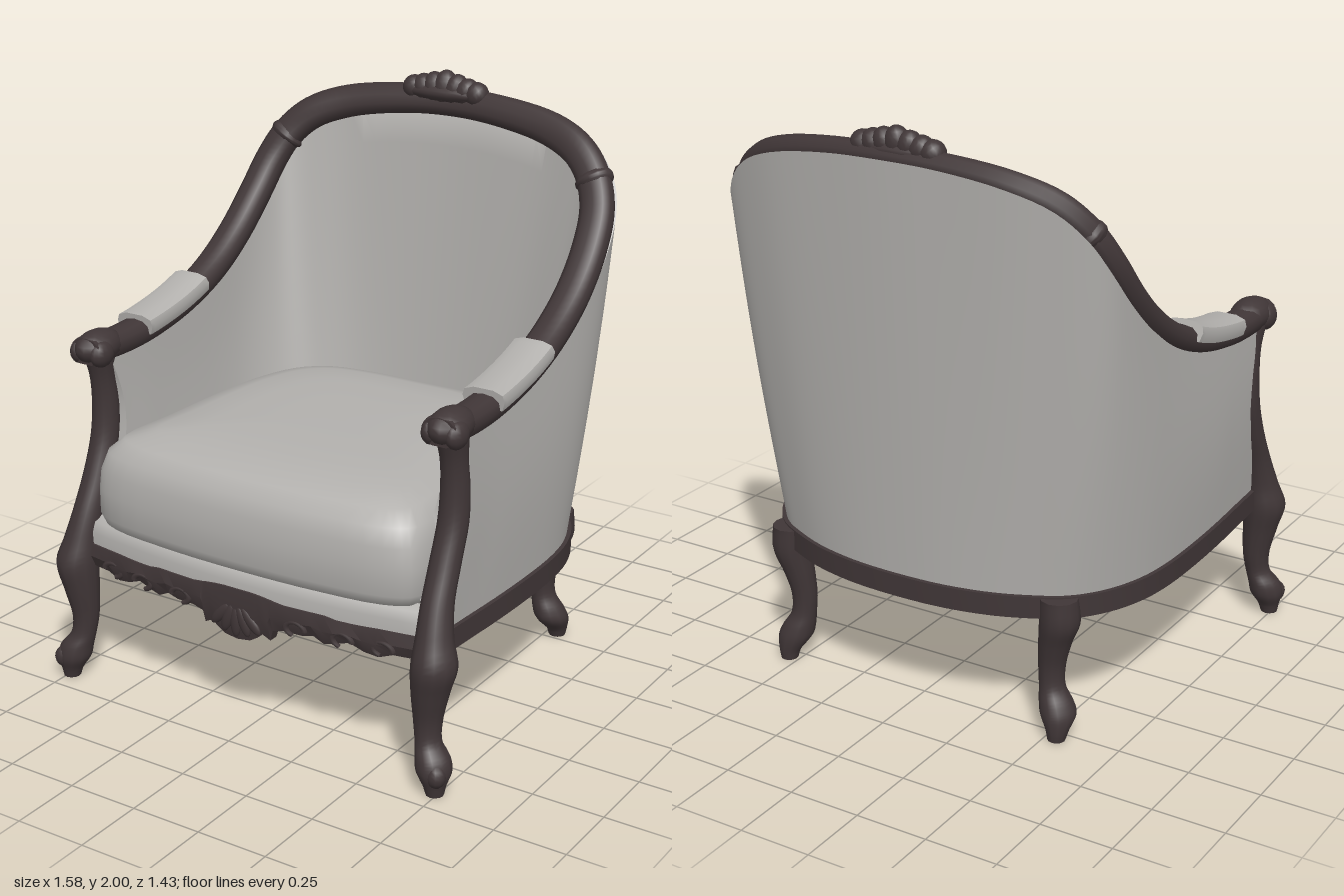
import * as THREE from 'three';
import { toCreasedNormals } from 'three/addons/utils/BufferGeometryUtils.js';

const V = (x, y, z) => new THREE.Vector3(x, y, z);
const { clamp, smoothstep } = THREE.MathUtils;
const wood = new THREE.MeshStandardMaterial({ color: 0x403637, side: THREE.DoubleSide });
wood.name = 'dark wood';
const fabric = new THREE.MeshStandardMaterial({ color: 0xb2b0ad, side: THREE.DoubleSide });
fabric.name = 'grey fabric';

// Skin rows of points; closed rows form rings, capped at the start and end if asked.
function loft(rows, { closed = true, capStart = true, capEnd = true, crease = 0.9 } = {}) {
  const cap = (r) => {
    const c = r.reduce((a, p) => a.add(p), V(0, 0, 0)).divideScalar(r.length);
    return r.map(() => c);
  };
  const all = [...(capStart ? [cap(rows[0])] : []), ...rows, ...(capEnd ? [cap(rows[rows.length - 1])] : [])];
  const n = rows[0].length, pos = [], idx = [];
  all.forEach((r) => r.forEach((p) => pos.push(p.x, p.y, p.z)));
  for (let i = 0; i < all.length - 1; i++) {
    for (let j = 0; j < (closed ? n : n - 1); j++) {
      const k = (j + 1) % n, a = i * n + j, b = i * n + k, c = a + n, d = b + n;
      idx.push(a, c, b, b, c, d);
    }
  }
  const g = new THREE.BufferGeometry();
  g.setAttribute('position', new THREE.Float32BufferAttribute(pos, 3));
  g.setIndex(idx);
  return toCreasedNormals(g, crease);
}

const ellipse = (rx, ry, n = 12) => Array.from({ length: n }, (_, i) => {
  const a = (i / n) * Math.PI * 2;
  return [Math.cos(a) * rx, Math.sin(a) * ry];
});

// Mirror half a path (left side to the middle) into a full horseshoe.
const horseshoe = (half) => new THREE.CatmullRomCurve3([
  ...half.map((p) => V(...p)),
  ...half.slice(0, -1).reverse().map(([x, y, z]) => V(-x, y, z))]);

const railCurve = horseshoe([
  [0.687, 1.178, 0.58], [0.687, 1.172, 0.4], [0.687, 1.184, 0.25], [0.687, 1.227, 0.05], [0.687, 1.3, -0.13],
  [0.687, 1.4, -0.28], [0.68, 1.52, -0.4], [0.662, 1.63, -0.48], [0.618, 1.722, -0.53],
  [0.54, 1.795, -0.57], [0.41, 1.845, -0.61], [0.2, 1.877, -0.635], [0, 1.885, -0.645]]);
const baseCurve = horseshoe([
  [0.69, 0.5, 0.6], [0.7, 0.5, 0.42], [0.71, 0.5, 0.25], [0.715, 0.5, 0.05], [0.71, 0.5, -0.13],
  [0.69, 0.5, -0.26], [0.65, 0.5, -0.37], [0.6, 0.5, -0.45], [0.54, 0.5, -0.51],
  [0.46, 0.5, -0.555], [0.34, 0.5, -0.605], [0.18, 0.5, -0.64], [0, 0.5, -0.65]]);

// Frame on the rail: W points outward, N points up on the arms and forward on the back.
function railFrame(t) {
  const p = railCurve.getPoint(t), T = railCurve.getTangent(t);
  const a = clamp((p.y - 1.18) / 0.5, 0, 1) * 1.1;
  const N = V(0, Math.cos(a), Math.sin(a));
  N.addScaledVector(T, -T.dot(N)).normalize();
  const W = T.clone().cross(N);
  return { a, at: (w, n) => p.clone().addScaledVector(W, w).addScaledVector(N, n) };
}

function alongRail(profile, t0, t1, steps, scale = () => 1) {
  const rows = [];
  for (let i = 0; i <= steps; i++) {
    const s = scale(i / steps), f = railFrame(t0 + (t1 - t0) * i / steps);
    rows.push(profile.map(([w, n]) => f.at(w * s, n * s)));
  }
  return loft(rows);
}

// Turned and bent limb: stations of [x, y, z, radius].
function limb(stations, side) {
  const c = new THREE.CatmullRomCurve3(stations.map(([x, y, z]) => V(x * side, y, z)));
  const r = new THREE.CatmullRomCurve3(stations.map((s) => V(s[3], s[1], 0)));
  const rows = [], steps = stations.length * 4;
  for (let i = 0; i <= steps; i++) {
    const p = c.getPoint(i / steps), q = r.getPoint(i / steps).x;
    rows.push(ellipse(q, q).map(([x, z]) => V(p.x + x, p.y, p.z + z)));
  }
  return loft(rows);
}

export function createModel() {
  const model = new THREE.Group();
  const add = (name, geo, mat, x = 0, y = 0, z = 0) => {
    const m = new THREE.Mesh(geo, mat);
    m.name = name;
    m.position.set(x, y, z);
    model.add(m);
    return m;
  };
  const ball = (name, x, y, z, sx, sy, sz, rot = 0) => {
    const m = add(name, new THREE.SphereGeometry(1, 14, 10), wood, x, y, z);
    m.scale.set(sx, sy, sz);
    m.rotation.z = rot;
    return m;
  };

  // Continuous top rail, moulded with a flattened face and slimmer in the middle
  const railProfile = [[0.059, 0], [0.055, 0.025], [0.035, 0.042], [0, 0.047], [-0.035, 0.042], [-0.055, 0.025],
    [-0.059, 0], [-0.05, -0.03], [-0.025, -0.043], [0.025, -0.043], [0.05, -0.03]];
  add('topRail', alongRail(railProfile, 0, 1, 120,
    (u) => 1 - 0.12 * smoothstep(0.5 - Math.abs(u - 0.5), 0.4, 0.5)), wood);

  // Upholstered shell, open underneath: outside, over the top, and down the inside to the cushion
  const shellRows = [], steps = 96, levels = 10;
  for (let i = 0; i <= steps; i++) {
    const t = i / steps, f = railFrame(t), b = baseCurve.getPoint(t);
    const outTop = f.at(0.04 + 0.008 * f.a, -0.02 - 0.032 * f.a), inTop = f.at(-0.04, -0.015);
    outTop.z = Math.min(outTop.z, 0.51);
    inTop.z = Math.min(inTop.z, 0.51);
    const inBase = V(b.x * 0.845, 0.7, b.z < 0 ? b.z * 0.8 : b.z * 0.95);
    const wall = (from, to, bulge) => Array.from({ length: levels + 1 }, (_, j) => {
      const v = j / levels, s = Math.sin(Math.PI * v), p = from.clone().lerp(to, v);
      p.x *= 1 + bulge * s;
      p.z -= 0.08 * s * smoothstep(p.z, 0.1, 0.5);
      return p;
    });
    const outside = wall(b, outTop, 0.02);
    const edge = [...outside, ...outside.slice().reverse()];
    if (i === 0) shellRows.push(edge);
    shellRows.push([...outside, ...wall(inBase, inTop, 0.01).reverse()]);
    if (i === steps) shellRows.push(edge);
  }
  add('upholsteredShell', loft(shellRows, { closed: false, capStart: false, capEnd: false, crease: 0.8 }), fabric);

  // Seat frame band round the sides and back
  const band = [];
  for (let i = 0; i <= 72; i++) {
    const p = baseCurve.getPoint(i / 72), T = baseCurve.getTangent(i / 72), W = V(-T.z, 0, T.x);
    band.push([[0.015, 0.43], [0.015, 0.505], [-0.045, 0.505], [-0.045, 0.43]]
      .map(([w, y]) => V(p.x + W.x * w, y, p.z + W.z * w)));
  }
  add('seatBand', loft(band, { crease: 0.6 }), wood);

  // Seat cushion, open underneath, its sides ending where they meet the shell
  const halfSeat = [[0, 0.7], [0.3, 0.69], [0.55, 0.655], [0.63, 0.6], [0.625, 0.3], [0.615, 0],
    [0.59, -0.22], [0.525, -0.4], [0.42, -0.49], [0.25, -0.525], [0, -0.53]];
  const seat = new THREE.CatmullRomCurve3([
    ...halfSeat.map(([x, z]) => V(x, 0, z)),
    ...halfSeat.slice(1, -1).reverse().map(([x, z]) => V(-x, 0, z))], true).getPoints(72).slice(0, -1).reverse();
  const ring = ([s, y]) => seat.map((p) => V(p.x * s,
    Math.max(y, 0.585 + 0.105 * smoothstep(0.55 - p.z, 0, 0.3)), 0.1 + (p.z - 0.1) * s));
  add('seatCushion', loft([[0.95, 0.585], [0.98, 0.595], [1, 0.63], [1, 0.72], [0.99, 0.79], [0.96, 0.85],
    [0.89, 0.893], [0.75, 0.92], [0.55, 0.934], [0.25, 0.938]].map(ring), { capStart: false, crease: 1 }), fabric);

  // Fabric panel under the front of the cushion
  const front = (x) => 0.7 - 0.14 * x * x;
  const panel = [];
  for (let i = 0; i <= 20; i++) {
    const x = -0.65 + i * 0.065, z = front(x);
    panel.push([V(x, 0.48, z - 0.012), V(x, 0.55, z - 0.012), V(x, 0.585, z - 0.025), V(x, 0.6, z - 0.06)]);
  }
  add('seatFrontPanel', loft(panel, { closed: false, capStart: false, capEnd: false }), fabric);

  // Scalloped front apron: [x, bottom, top]
  const halfApron = [[0, 0.35, 0.53], [0.05, 0.357, 0.53], [0.08, 0.375, 0.528], [0.1, 0.392, 0.526],
    [0.13, 0.378, 0.522], [0.14, 0.415, 0.52], [0.18, 0.425, 0.515], [0.25, 0.425, 0.515], [0.29, 0.435, 0.515],
    [0.33, 0.415, 0.515], [0.37, 0.425, 0.508], [0.42, 0.44, 0.507], [0.47, 0.42, 0.508], [0.52, 0.412, 0.51],
    [0.57, 0.43, 0.51], [0.66, 0.43, 0.51]];
  const apron = [...halfApron.slice(1).reverse().map(([x, b, t]) => [-x, b, t]), ...halfApron];
  add('frontApron', loft(apron.map(([x, b, t]) => {
    const z = front(x);
    return [V(x, b, z - 0.045), V(x, b, z - 0.01), V(x, (b + t) / 2, z + 0.006), V(x, t, z - 0.005), V(x, t, z - 0.045)];
  }), { crease: 0.6 }), wood);

  // Carved shell in the middle of the apron
  for (let i = -2; i <= 2; i++) {
    ball('apronCarving', i * 0.03, 0.415 + Math.abs(i) * 0.008, 0.697, 0.02, 0.055, 0.013, i * 0.35);
  }

  // Crest carving on the back: a broad fan of overlapping lobes
  for (let i = -3; i <= 3; i++) {
    const k = Math.abs(i);
    const lobe = ball('crestLobe', -0.022 + i * 0.042, 1.936 - k * 0.004, -0.634, 0.044, 0.062 - k * 0.006, 0.042, -i * 0.25);
    lobe.rotation.x = -0.2;
  }
  ball('crestBase', -0.025, 1.918, -0.632, 0.17, 0.032, 0.05);

  const padProfile = [[0.066, 0.0], [0.075, 0.03], [0.068, 0.052], [0.035, 0.064], [-0.035, 0.064],
    [-0.068, 0.052], [-0.075, 0.03], [-0.066, 0.0]];
  for (const side of [1, -1]) {
    const name = side > 0 ? 'left' : 'right';
    const at = (k) => (side > 0 ? k / 24 : 1 - k / 24);
    const span = (a, b) => (side > 0 ? [at(a), at(b)] : [at(b), at(a)]);

    // Cabriole front leg rising into the arm post
    add(name + 'FrontLeg', limb([[0.74, 0, 0.665, 0.03], [0.738, 0.03, 0.664, 0.038], [0.731, 0.075, 0.657, 0.058],
      [0.722, 0.12, 0.65, 0.057], [0.7, 0.165, 0.64, 0.044], [0.693, 0.23, 0.633, 0.047], [0.703, 0.34, 0.637, 0.063],
      [0.715, 0.43, 0.637, 0.075], [0.705, 0.52, 0.62, 0.061], [0.695, 0.62, 0.588, 0.053], [0.69, 0.74, 0.535, 0.051],
      [0.69, 0.86, 0.492, 0.05], [0.69, 0.97, 0.483, 0.047], [0.69, 1.07, 0.493, 0.045], [0.69, 1.16, 0.51, 0.055]], side), wood);
    // Pointed toe turned outward
    const toe = ball(name + 'Toe', 0.745 * side, 0.075, 0.672, 0.036, 0.045, 0.05);
    toe.rotation.y = side * 0.7;
    // Cabriole back leg
    add(name + 'BackLeg', limb([[0.54, 0, -0.54, 0.03], [0.54, 0.03, -0.535, 0.038], [0.53, 0.08, -0.512, 0.06],
      [0.518, 0.12, -0.505, 0.057], [0.5, 0.17, -0.5, 0.044], [0.497, 0.24, -0.498, 0.045], [0.512, 0.33, -0.505, 0.055],
      [0.532, 0.41, -0.512, 0.067], [0.53, 0.5, -0.515, 0.064]], side), wood);

    // Scrolled hand rest, widening smoothly out of the arm
    ball(name + 'HandRest', 0.687 * side, 1.182, 0.51, 0.066, 0.058, 0.1);
    for (const s of [-1, 1]) ball(name + 'HandScroll', (0.687 + s * 0.042) * side, 1.17, 0.545, 0.033, 0.046, 0.052);

    // Arm pad and the carved collar on the back
    add(name + 'ArmPad', alongRail(padProfile, ...span(1.6, 3.4), 14), fabric);
    add(name + 'RailCollar', alongRail(ellipse(0.068, 0.056), ...span(7.75, 8.05), 6,
      (u) => 0.88 + 0.14 * Math.sin(Math.PI * u)), wood);

    // Scrolls on the apron
    for (const x of [0.23, 0.4, 0.54]) {
      add(name + 'ApronScroll', new THREE.TorusGeometry(0.024, 0.008, 6, 16, 4.4), wood, x * side, 0.447, front(x))
        .scale.x = side * 1.5;
    }
  }
  return model;
}
